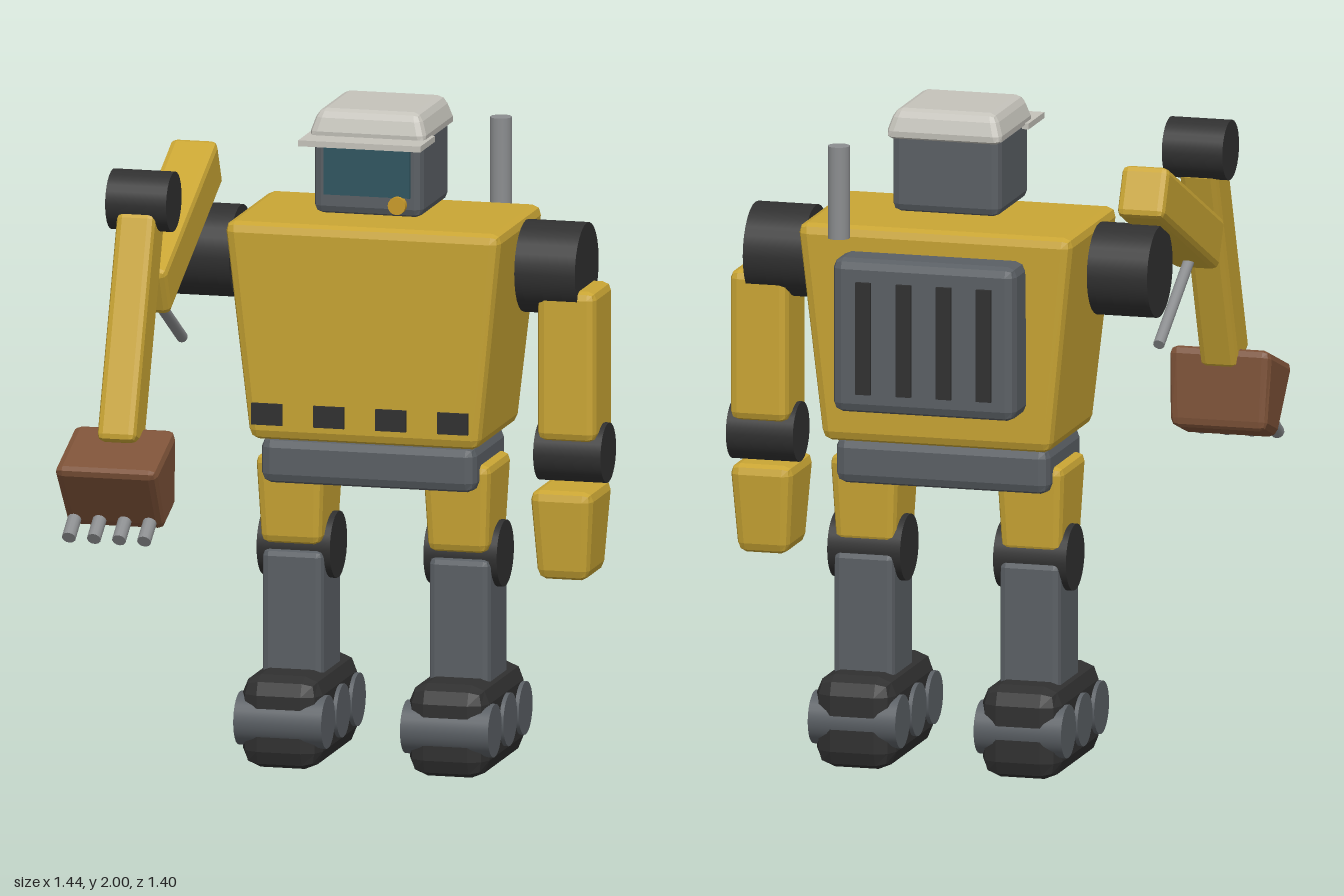
import * as THREE from 'three';
import { RoundedBoxGeometry } from 'three/addons/geometries/RoundedBoxGeometry.js';

const makeMaterial = (name, color) => {
  const m = new THREE.MeshStandardMaterial({ color });
  m.name = name;
  return m;
};

export function createModel() {
  const yellow = makeMaterial('machine yellow', 0xc9a534);
  const slate = makeMaterial('slate grey', 0x5a5f64);
  const dark = makeMaterial('rubber black', 0x303030);
  const cream = makeMaterial('helmet white', 0xc4c2ba);
  const metal = makeMaterial('pipe metal', 0x8b8d8f);
  const brown = makeMaterial('bucket brown', 0x7d5238);
  const glass = makeMaterial('window teal', 0x2f5560);
  const amber = makeMaterial('lamp amber', 0xc99a2a);

  const root = new THREE.Group();
  root.name = 'excavatorRobot';
  const CX = 0.025; // middle plane of the body

  const add = (name, geometry, material, [x, y, z], tilt = 0, parent = root) => {
    const mesh = new THREE.Mesh(geometry, material);
    mesh.name = name;
    mesh.position.set(x, y, z);
    mesh.rotation.x = tilt;
    parent.add(mesh);
    return mesh;
  };

  // Bevelled box; its x and z shrink towards the bottom or top by the given factors
  const block = (w, h, d, r = 0.025, bottom = [1, 1], top = [1, 1]) => {
    const g = new RoundedBoxGeometry(w, h, d, 1, r);
    const p = g.attributes.position;
    for (let i = 0; i < p.count; i++) {
      const t = p.getY(i) / h + 0.5;
      p.setX(i, p.getX(i) * THREE.MathUtils.lerp(bottom[0], top[0], t));
      p.setZ(i, p.getZ(i) * THREE.MathUtils.lerp(bottom[1], top[1], t));
    }
    g.computeVertexNormals();
    return g;
  };
  const rod = (r, length, sides = 16) => new THREE.CylinderGeometry(r, r, length, sides);
  const axle = (r, length) => rod(r, length, 28).rotateZ(Math.PI / 2);

  // Torso, pelvis and hazard stripe
  add('torso', block(0.85, 0.66, 0.52, 0.03, [0.83, 0.9]), yellow, [CX, 1.33, -0.317]);
  add('pelvis', block(0.66, 0.14, 0.37, 0.03), slate, [CX, 0.93, -0.31]);
  for (let i = 0; i < 4; i++) {
    add('hazardStripe', new THREE.BoxGeometry(0.094, 0.065, 0.009), dark,
      [CX - 0.285 + i * 0.19, 1.088, -0.041]);
  }

  // Backpack engine with vents and exhaust
  add('enginePack', block(0.565, 0.467, 0.16, 0.03), slate, [CX, 1.353, -0.612]);
  for (let i = 0; i < 4; i++) {
    add('engineVent', new THREE.BoxGeometry(0.046, 0.34, 0.02), dark,
      [-0.165 + i * 0.124, 1.35, -0.693]);
  }
  add('exhaustPipe', rod(0.033, 0.28), metal, [0.31, 1.77, -0.6]);

  // Head with window, lamp and hard hat
  add('head', block(0.335, 0.25, 0.32, 0.025), slate, [CX, 1.81, -0.289]);
  add('window', new THREE.BoxGeometry(0.264, 0.145, 0.009), glass, [CX, 1.818, -0.126]);
  add('headLamp', rod(0.027, 0.03).rotateX(Math.PI / 2), amber, [0.12, 1.724, -0.122]);
  add('hatCrown', block(0.37, 0.09, 0.37, 0.025, [1, 1], [0.84, 0.84]), cream, [CX, 1.955, -0.298]);
  add('hatBrim', new THREE.BoxGeometry(0.375, 0.018, 0.17), cream, [CX, 1.914, -0.12]);

  // Legs with tracked feet
  for (const side of [-1, 1]) {
    const leg = new THREE.Group();
    leg.name = side > 0 ? 'leftLeg' : 'rightLeg';
    leg.position.x = CX + side * 0.256;
    root.add(leg);
    add('thigh', block(0.21, 0.27, 0.27, 0.025, [0.87, 0.85]), yellow, [0, 0.8, -0.313], 0, leg);
    add('knee', axle(0.1, 0.225), dark, [0, 0.645, -0.335], 0, leg);
    add('shin', block(0.187, 0.39, 0.222, 0.02), slate, [0, 0.448, -0.33], 0, leg);
    add('foot', block(0.245, 0.28, 0.5, 0.055), dark, [0, 0.145, -0.313], 0, leg);
    for (let i = 0; i < 3; i++) {
      add('trackWheel', axle(0.08, 0.27), slate, [0, 0.148, -0.13 - i * 0.178], 0, leg);
    }
    add('shoulder', axle(0.138, 0.186), dark, [CX + side * 0.531, 1.523, -0.315]);
  }

  // Left arm, hanging down
  add('leftUpperArm', block(0.18, 0.455, 0.216, 0.025), yellow, [0.612, 1.243, -0.312]);
  add('leftElbow', axle(0.09, 0.207), dark, [0.613, 0.97, -0.31]);
  add('leftHand', block(0.195, 0.272, 0.265, 0.03, [0.8, 0.78]), yellow, [0.613, 0.741, -0.268]);

  // Right arm: digger boom, dipper arm and hydraulic strut
  const AX = -0.563;
  const deg = THREE.MathUtils.degToRad;
  add('boom', block(0.145, 0.157, 0.68, 0.02), yellow, [AX, 1.635, -0.072], deg(25));
  add('boomJoint', axle(0.09, 0.187), dark, [-0.561, 1.777, 0.253]);
  add('dipperArm', block(0.118, 0.69, 0.14, 0.02), yellow, [AX, 1.412, 0.392], deg(-20));
  add('hydraulicStrut', rod(0.017, 0.42), metal, [AX, 1.38, -0.02], deg(60));

  // Bucket and its teeth
  add('bucket', block(0.315, 0.235, 0.275, 0.025, [0.94, 0.47]), brown, [AX, 0.977, 0.535], deg(20));
  for (let i = 0; i < 4; i++) {
    add('bucketTooth', rod(0.021, 0.08, 12), metal, [-0.675 + i * 0.077, 0.856, 0.652], deg(-56));
  }
  return root;
}
